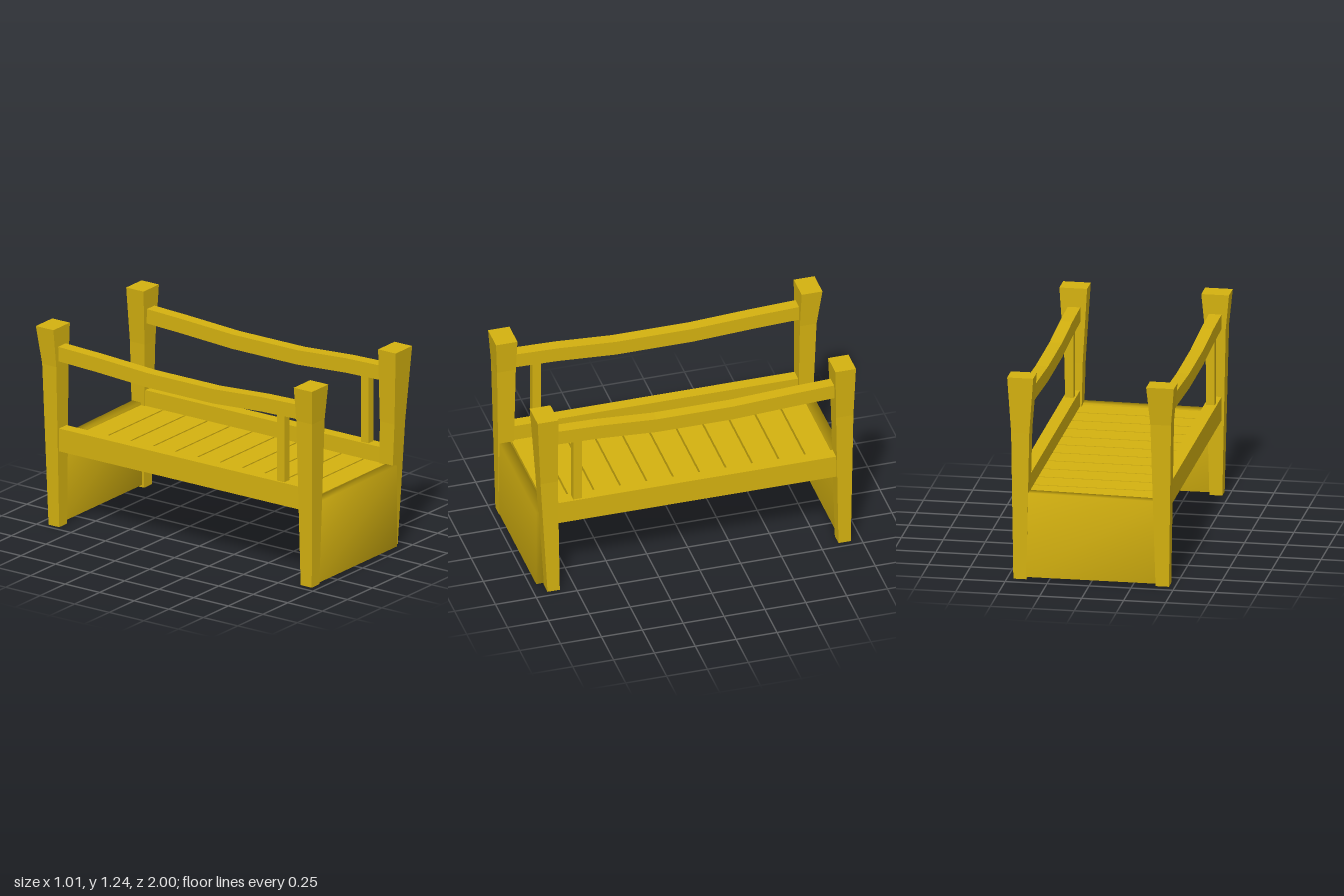
import * as THREE from 'three';
import { mergeVertices } from 'three/addons/utils/BufferGeometryUtils.js';

const wood = new THREE.MeshStandardMaterial({ color: 0xd4b110, flatShading: true });
const softWood = new THREE.MeshStandardMaterial({ color: 0xd4b110 });

function add(group, name, geometry, material = wood) {
  const mesh = new THREE.Mesh(geometry, material);
  mesh.name = name;
  group.add(mesh);
  return mesh;
}

// Box given by its limits on each axis
function block(x0, x1, y0, y1, z0, z1) {
  return new THREE.BoxGeometry(x1 - x0, y1 - y0, z1 - z0)
    .translate((x0 + x1) / 2, (y0 + y1) / 2, (z0 + z1) / 2);
}

// Post through rectangular sections, bottom to top: [y, x0, x1, z0, z1]
function taperedPost(sections) {
  const geo = new THREE.BoxGeometry(1, 1, 1, 1, sections.length - 1, 1);
  const p = geo.attributes.position;
  for (let i = 0; i < p.count; i++) {
    const k = Math.round((p.getY(i) + 0.5) * (sections.length - 1));
    const [y, x0, x1, z0, z1] = sections[k];
    p.setXYZ(i, p.getX(i) < 0 ? x0 : x1, y, p.getZ(i) < 0 ? z0 : z1);
  }
  geo.computeVertexNormals();
  return geo;
}

// Sagging handrail: side outline extruded across its width
function handrail(x0, x1, zBack, zFront) {
  const top = [[zFront, 1.12], [0.6, 1.113], [0.25, 1.09], [-0.22, 1.09], [-0.6, 1.11], [zBack, 1.12]];
  const bottom = top.map(([z, y]) => [z, y - 0.09]).reverse();
  const shape = new THREE.Shape([...top, ...bottom].map(([z, y]) => new THREE.Vector2(-z, y)));
  const geo = new THREE.ExtrudeGeometry(shape, { depth: x1 - x0, bevelEnabled: false });
  return geo.rotateY(Math.PI / 2).translate(x0, 0, 0);
}

// End board with soft shading running over its edges
function endBoard(z0, z1, yLeft, yRight) {
  let geo = block(-0.385, 0.387, 0.015, 0.5, z0, z1);
  const p = geo.attributes.position;
  for (let i = 0; i < p.count; i++) {
    if (p.getY(i) > 0.3) p.setY(i, p.getX(i) > 0 ? yLeft : yRight);
  }
  geo.deleteAttribute('normal');
  geo.deleteAttribute('uv');
  geo = mergeVertices(geo);
  geo.computeVertexNormals();
  return geo;
}

export function createModel() {
  const model = new THREE.Group();
  model.name = 'bed';

  // Four flared corner posts, each slightly different
  add(model, 'frontLeftPost', taperedPost([
    [0, 0.38, 0.462, 0.845, 0.92], [0.78, 0.365, 0.473, 0.86, 0.966], [1.235, 0.34, 0.505, 0.866, 0.993]]));
  add(model, 'frontRightPost', taperedPost([
    [0.003, -0.462, -0.385, 0.885, 0.965], [1.03, -0.485, -0.36, 0.87, 0.985], [1.24, -0.505, -0.34, 0.866, 0.997]]));
  add(model, 'backLeftPost', taperedPost([
    [0, 0.385, 0.462, -0.935, -0.86], [0.9, 0.365, 0.473, -0.948, -0.842], [1.24, 0.34, 0.495, -0.957, -0.832]]));
  add(model, 'backRightPost', taperedPost([
    [0, -0.465, -0.385, -0.937, -0.86], [1.0, -0.483, -0.36, -0.97, -0.868], [1.235, -0.505, -0.34, -1.0, -0.873]]));

  // Side rails, handrails and the single spindle near the front
  for (const side of [1, -1]) {
    const label = side > 0 ? 'left' : 'right';
    const x0 = side > 0 ? 0.38 : -0.46;
    const x1 = side > 0 ? 0.455 : -0.385;
    add(model, label + 'SideRail', block(x0, x1, 0.47, 0.612, -0.865, 0.875));
    add(model, label + 'Handrail', handrail(x0, x1, side > 0 ? -0.85 : -0.88, 0.88));
    add(model, label + 'Spindle', block(x0 + 0.012, x1 - 0.012, 0.6, 1.035, 0.705, 0.757));
  }

  // Eleven slats
  const slats = new THREE.Group();
  slats.name = 'slats';
  model.add(slats);
  for (let i = 0; i < 11; i++) {
    const z = -0.8 + i * 0.1615;
    add(slats, 'slat', block(-0.39, 0.385, 0.48, 0.515, z - 0.075, z + 0.075));
  }

  // End boards
  add(model, 'frontBoard', endBoard(0.9, 0.967, 0.52, 0.515), softWood);
  add(model, 'backBoard', endBoard(-0.937, -0.875, 0.532, 0.52), softWood);

  return model;
}
